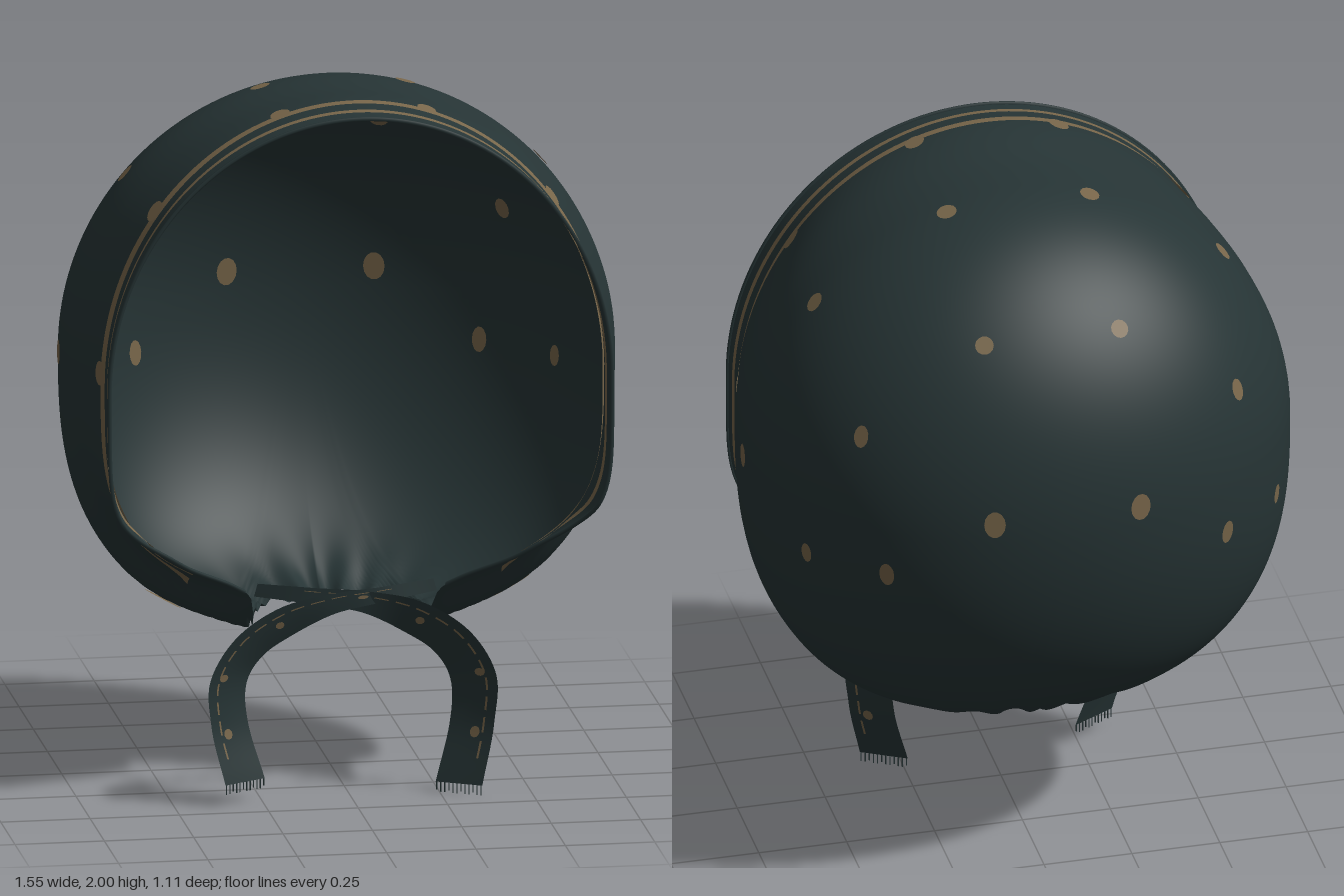
import * as THREE from 'three';
import { mergeVertices } from 'three/addons/utils/BufferGeometryUtils.js';

const V = (x, y, z) => new THREE.Vector3(x, y, z);

// smooth interpolation through [key, value] pairs
function ease(keys, x) {
  const n = keys.length - 1;
  if (x <= keys[0][0]) return keys[0][1];
  if (x >= keys[n][0]) return keys[n][1];
  let i = 0;
  while (x > keys[i + 1][0]) i++;
  const slope = (j) => {
    if (j === 0 || j === n) return 0;
    const a = (keys[j][1] - keys[j - 1][1]) / (keys[j][0] - keys[j - 1][0]);
    const b = (keys[j + 1][1] - keys[j][1]) / (keys[j + 1][0] - keys[j][0]);
    return a * b <= 0 ? 0 : (2 * a * b) / (a + b);
  };
  const h = keys[i + 1][0] - keys[i][0], t = (x - keys[i][0]) / h, t2 = t * t, t3 = t2 * t;
  return (2 * t3 - 3 * t2 + 1) * keys[i][1] + (t3 - 2 * t2 + t) * h * slope(i)
    + (3 * t2 - 2 * t3) * keys[i + 1][1] + (t3 - t2) * h * slope(i + 1);
}

// grid surface from a function of u, v in 0..1
function grid(fn, nu, nv) {
  const pos = [], idx = [];
  for (let i = 0; i <= nu; i++) for (let j = 0; j <= nv; j++) pos.push(...fn(i / nu, j / nv).toArray());
  for (let i = 0; i < nu; i++) for (let j = 0; j < nv; j++) {
    const a = i * (nv + 1) + j, b = a + nv + 1;
    idx.push(a, b, a + 1, b, b + 1, a + 1);
  }
  let g = new THREE.BufferGeometry();
  g.setAttribute('position', new THREE.Float32BufferAttribute(pos, 3));
  g.setIndex(idx);
  g = mergeVertices(g, 1e-5);
  g.computeVertexNormals();
  return g;
}

// hood cross-section at depth z: half width, centre, heights above and below, roundness
const BACK = -0.55, YC = 1.22;
const round = (z, z0) => Math.sqrt(Math.max(0, 1 - ((z0 - z) / (z0 - BACK)) ** 2));
const WIDTH = [[0.1, 0.77], [0.2, 0.765], [0.3, 0.745], [0.4, 0.712], [0.46, 0.695], [0.55, 0.703]];
const TOP = [[0.1, 1.98], [0.2, 1.982], [0.4, 1.998], [0.55, 1.98]];
const BOTTOM = [[0.15, 0.435], [0.2, 0.46], [0.27, 0.555], [0.42, 0.634], [0.53, 0.72]];
const POWER = [[-0.55, 2.1], [0, 2.7], [0.27, 2.7], [0.42, 3.2], [0.53, 5]];
// depth of the face and neck edge at angle phi from the bottom
const EDGE = [[0, -0.13], [0.13, -0.1], [0.19, 0.06], [0.235, 0.25], [0.3, 0.29], [0.6, 0.42], [0.85, 0.49], [1.1, 0.535], [1.5, 0.55]];
const edge = (phi) => ease(EDGE, Math.abs(phi));

function section(z) {
  return {
    w: z < 0.1 ? 0.77 * round(z, 0.1) : ease(WIDTH, z),
    up: z < 0.1 ? 0.76 * round(z, 0.1) : ease(TOP, z) - YC,
    down: z < -0.03 ? 0.785 * round(z, -0.03) : YC - ease(BOTTOM, z),
    n: ease(POWER, z),
  };
}

function hood(phi, z) {
  const { w, up, down, n } = section(z);
  const s = Math.sin(phi), c = Math.cos(phi), e = c > 0 ? 2 / n : 1;
  const x = w * Math.sign(s) * Math.abs(s) ** e;
  let y = c > 0 ? YC - down * c ** e : YC - up * c;
  // gathers fanning out from the neck
  if (y < 0.8) {
    const d = Math.hypot(x, z - 0.08);
    y += 0.016 * Math.sin(18 * Math.atan2(Math.abs(x), z - 0.08)) * Math.exp(-(((d - 0.2) / 0.13) ** 2)) * Math.min(1, (0.8 - y) / 0.2);
  }
  return V(x, y, z);
}

function hoodNormal(phi, z) {
  const e = 0.004;
  const a = hood(phi + e, z).sub(hood(phi - e, z));
  const b = hood(phi, z + e).sub(hood(phi, z - e));
  const n = a.cross(b).normalize();
  const p = hood(phi, z).sub(V(0, YC, 0.1));
  return n.dot(p) < 0 ? n.negate() : n;
}

export function createModel() {
  const model = new THREE.Group();
  const cloth = new THREE.MeshStandardMaterial({ color: 0x263435, side: THREE.DoubleSide });
  cloth.name = 'dark teal cloth';
  const gold = new THREE.MeshStandardMaterial({ color: 0x78664a, side: THREE.DoubleSide });
  gold.name = 'dull gold';
  const add = (name, geo, mat, parent = model) => {
    const m = new THREE.Mesh(geo, mat);
    m.name = name;
    parent.add(m);
    return m;
  };

  // hood shell, swept from the open edge to the back
  add('hoodShell', grid((u, v) => {
    const k = 2 * u - 1, phi = Math.PI * Math.sign(k) * Math.abs(k) ** 1.6;
    const z = BACK + (edge(phi) - BACK) * (1 - Math.sin((v * Math.PI) / 2));
    return hood(phi, z);
  }, 240, 64), cloth);

  // thin hem along the face opening
  const hem = [];
  for (let i = 0; i <= 90; i++) {
    const phi = 0.27 + (2 * Math.PI - 0.54) * (i / 90);
    const p = phi > Math.PI ? phi - 2 * Math.PI : phi;
    hem.push(hood(p, edge(p)));
  }
  add('faceHem', new THREE.TubeGeometry(new THREE.CatmullRomCurve3(hem), 160, 0.006, 6), cloth);

  // two stripes beside the face edge, on the outer and inner cloth
  for (const [near, far] of [[0.046, 0.064], [0.105, 0.13]]) for (const off of [0.004, -0.004]) {
    add('edgeStripe', grid((u, v) => {
      let phi = 0.5 + (2 * Math.PI - 1) * u;
      if (phi > Math.PI) phi -= 2 * Math.PI;
      const z = edge(phi) - near - (far - near) * v;
      return hood(phi, z).addScaledVector(hoodNormal(phi, z), off);
    }, 140, 2), gold);
  }

  // dots: x, y, z, half width, half height, mirrored left and right
  const dots = [
    [0.2, 1.77, -0.34, 0.026, 0.026], [0.56, 1.5, -0.31, 0.022, 0.032], [0.205, 1.28, -0.524, 0.03, 0.04],
    [0.485, 1.09, -0.4, 0.022, 0.036], [0.68, 1.08, -0.22, 0.018, 0.03], [0.205, 1.96, 0.05, 0.03, 0.028],
    [0.58, 1.72, 0.045, 0.027, 0.029], [0.76, 1.23, 0.09, 0.025, 0.035], [0.2, 1.95, 0.415, 0.032, 0.028],
    [0.56, 1.71, 0.415, 0.028, 0.032], [0.71, 1.25, 0.415, 0.024, 0.035], [0.47, 0.55, 0.13, 0.013, 0.06],
  ];
  for (const [x, y, z, rx, ry] of dots) for (const side of [1, -1]) for (const face of [1, -1]) {
    const { w, up, down, n } = section(z);
    const h = y - YC, p = h > 0 ? 1 : n / 2;
    const phi = side * Math.atan2((x / w) ** p, -Math.sign(h) * Math.abs(h / (h > 0 ? up : down)) ** p);
    const normal = hoodNormal(phi, z);
    const dot = add('dot', new THREE.CircleGeometry(1, 14), gold);
    dot.position.copy(hood(phi, z)).addScaledVector(normal, 0.004 * face);
    dot.scale.set(rx, ry, 1);
    dot.lookAt(dot.position.clone().addScaledVector(normal, face));
  }

  // chin ties: centre line and half-width vectors
  const path = new THREE.CatmullRomCurve3([
    V(-0.25, 0.575, 0.27), V(-0.1, 0.565, 0.32), V(0.05, 0.545, 0.335), V(0.18, 0.5, 0.345),
    V(0.285, 0.43, 0.36), V(0.343, 0.33, 0.365), V(0.34, 0.2, 0.365), V(0.3, 0.03, 0.385),
  ]);
  const half = new THREE.CatmullRomCurve3([
    V(0.005, 0.018, 0), V(0.008, 0.022, 0), V(0.012, 0.03, 0.005), V(0.025, 0.045, 0.02),
    V(0.045, 0.035, 0.035), V(0.058, 0.012, 0.042), V(0.056, 0, 0.035), V(0.06, 0, 0.033),
  ]);
  const tiePoint = (t, a, off) => {
    const w = half.getPoint(t);
    const n = w.clone().cross(path.getTangent(t)).normalize();
    return path.getPoint(t).addScaledVector(w, a).addScaledVector(n, off);
  };
  for (const side of [1, -1]) {
    const tie = new THREE.Group();
    tie.name = side > 0 ? 'leftTie' : 'rightTie';
    add('tieRibbon', grid((u, v) => tiePoint(u, 2 * v - 1, 0), 60, 4), cloth, tie);
    for (const off of [0.003, -0.003]) {
      // broken stitched line along the outer edge
      for (let i = 0; i < 14; i++) {
        add('tieStitch', grid((u, v) => tiePoint(0.12 + i * 0.06 + 0.04 * u, 0.5 + 0.09 * v, off), 3, 1), gold, tie);
      }
      // small dots on the ribbon
      for (const [t, a] of [[0.2, 0.1], [0.45, 0], [0.7, 0.35], [0.88, 0.2]]) {
        add('tieDot', grid((u, v) => tiePoint(t + 0.014 * v * Math.cos(2 * Math.PI * u), a + 0.22 * v * Math.sin(2 * Math.PI * u), off), 10, 1), gold, tie);
      }
    }
    // fringe at the cut end
    for (let i = 0; i < 12; i++) {
      const p = tiePoint(1, -0.95 + (1.9 * i) / 11, 0), len = i % 3 ? 0.028 : 0.022;
      add('fringe', new THREE.BoxGeometry(0.003, len, 0.003), cloth, tie).position.set(p.x, 0.03 - len / 2, p.z);
    }
    tie.scale.x = side;
    if (side < 0) {
      tie.scale.y = 0.94;
      tie.position.set(0, 0.034, 0.012);
    }
    model.add(tie);
  }
  return model;
}
